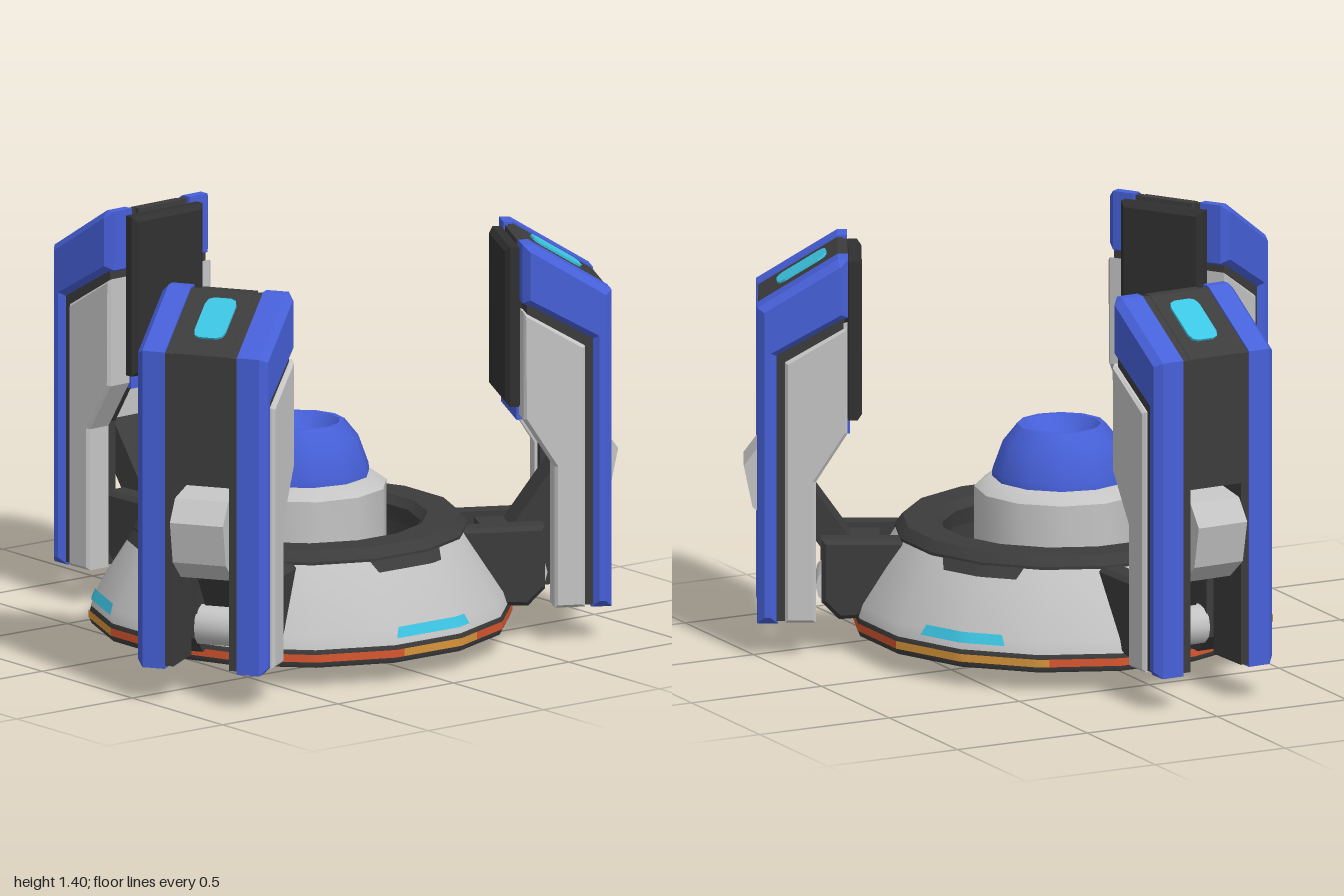
import * as THREE from 'three';
import { toCreasedNormals } from 'three/addons/utils/BufferGeometryUtils.js';

const paint = (name, color) => {
  const m = new THREE.MeshStandardMaterial({ color });
  m.name = name;
  return m;
};

export function createModel() {
  const dark = paint('charcoal', 0x3c3c3c);
  const black = paint('panel black', 0x303030);
  const grey = paint('light grey', 0xc4c4c4);
  const blue = paint('blue', 0x4660d8);
  const deepBlue = paint('deep blue', 0x35407c);
  const cyan = paint('cyan', 0x3cc4e2);
  const orange = paint('orange', 0xd8943a);
  const red = paint('red', 0xd8562f);

  const model = new THREE.Group();
  model.name = 'ringPlatform';
  const root = new THREE.Group();
  root.name = 'body';
  root.position.set(-0.015, 0, 0.172);
  model.add(root);

  const add = (parent, name, geo, mat, x = 0, y = 0, z = 0) => {
    const m = new THREE.Mesh(geo, mat);
    m.name = name;
    m.position.set(x, y, z);
    parent.add(m);
    return m;
  };
  const lathe = (name, pts, sides, start, mat) => add(root, name, toCreasedNormals(
    new THREE.LatheGeometry(pts.map(p => new THREE.Vector2(...p)), sides, start), 0.6), mat);

  // Extrudes a (radius, height) profile sideways from x0 to x1, chamfered on the outer side only
  const prism = (pts, x0, x1, c, side) => {
    const shape = new THREE.Shape(pts.map(([r, y]) => new THREE.Vector2(-side * r, y)));
    const geo = new THREE.ExtrudeGeometry(shape, {
      depth: x1 - x0 - c, bevelEnabled: c > 0, bevelThickness: c,
      bevelSize: c, bevelOffset: -c, bevelSegments: 1,
    });
    const p = geo.attributes.position;
    for (let i = 0; i < p.count; i++) if (p.getZ(i) < 0) p.setZ(i, 0);
    geo.rotateY(side * Math.PI / 2).translate(side * x0, 0, 0);
    geo.computeVertexNormals();
    return geo;
  };

  // Thin skin following the 16-sided dish; angles are counted in 1/128 turns
  const STEP = Math.PI / 64, FACE = Math.PI / 8;
  const skin = (name, a0, a1, [r0, y0, t0 = 0], [r1, y1, t1 = 0], mat) => {
    const n = Math.max(2, Math.round(a1 - a0)), pos = [], idx = [];
    for (let i = 0; i <= n; i++) {
      for (const [r, y, t] of [[r0, y0, t0], [r1, y1, t1]]) {
        const a = (a0 + t + (a1 - a0 - 2 * t) * i / n) * STEP;
        const off = a - Math.round(a / FACE) * FACE;
        const rr = r * Math.cos(FACE / 2) / Math.cos(off);
        pos.push(rr * Math.sin(a), y, rr * Math.cos(a));
      }
      if (i < n) {
        const k = i * 2;
        idx.push(k, k + 2, k + 1, k + 2, k + 3, k + 1);
      }
    }
    const geo = new THREE.BufferGeometry();
    geo.setAttribute('position', new THREE.Float32BufferAttribute(pos, 3));
    geo.setIndex(idx);
    add(root, name, toCreasedNormals(geo, 0.6), mat);
  };

  // Dish: dark rim and inner wall, grey cone, top ring, underside
  const S = Math.PI / 16;
  lathe('dishFrame', [[0.42, 0.36], [0.41, 0.07], [0.715, 0.07], [0.72, 0.08], [0.72, 0.12], [0.716, 0.132], [0.6, 0.132]], 16, S, dark);
  lathe('dishCone', [[0.718, 0.132], [0.705, 0.175], [0.56, 0.405]], 16, S, grey);
  lathe('topRing', [[0.572, 0.395], [0.572, 0.405], [0.545, 0.44], [0.435, 0.44], [0.41, 0.41], [0.42, 0.35]], 16, S, dark);
  lathe('undersidePlate', [[0.44, 0.066], [0.6, 0.066]], 16, S, grey);

  // Coloured trim band around the rim
  const bands = [[-3, 7, orange], [7, 36, red], [36, 53, orange], [53, 81, red], [81, 92, orange], [92, 125, red]];
  for (const [a0, a1, m] of bands) skin('trimBand', a0, a1, [0.725, 0.09], [0.725, 0.117], m);

  // Central core: grey drum and blue emitter
  lathe('coreDrum', [[0, 0], [0.298, 0], [0.298, 0.55], [0.25, 0.585], [0.2, 0.59]], 12, 0.05, grey);
  lathe('emitterDome', [[0.238, 0.583], [0.236, 0.61], [0.2, 0.71], [0.152, 0.77], [0.135, 0.77], [0.085, 0.71]], 12, 0.05, blue);
  lathe('emitterWell', [[0.085, 0.712], [0.08, 0.68], [0, 0.68]], 12, 0.05, deepBlue);

  // Arm profiles as (radius, height)
  const shellP = [[0.73, 1.40], [0.765, 1.40], [1.04, 1.23], [1.04, 0.12], [0.97, 0.12], [0.97, 1.06], [0.73, 1.195]];
  const panelP = [[0.732, 1.165], [0.945, 1.04], [0.945, 0.125], [0.84, 0.125], [0.84, 0.62], [0.732, 0.79]];
  const coreP = [[0.745, 1.393], [0.765, 1.393], [1.035, 1.226], [1.035, 0.13], [0.85, 0.13], [0.85, 0.63], [0.745, 0.8]];
  const spineP = [[0.73, 1.395], [0.765, 1.395], [1.035, 1.228], [1.035, 0.77], [0.77, 0.77], [0.73, 0.82]];
  const bracketP = [[0.48, 0.14], [0.76, 0.12], [0.82, 0.18], [0.82, 0.40], [0.48, 0.40]];
  const knuckleP = [[0.9, 0.74], [1.03, 0.72], [1.085, 0.645], [1.055, 0.5], [0.97, 0.43], [0.9, 0.43]];
  const padP = [[0.03, 0.097], [0.048, 0.088], [0.056, 0.066], [0.056, -0.066], [0.048, -0.088], [0.03, -0.097]];
  const padShape = new THREE.Shape([...padP, ...padP.map(([x, y]) => [-x, -y])].map(p => new THREE.Vector2(...p)));

  for (let k = 0; k < 3; k++) {
    const angle = 0.05 + k * Math.PI * 2 / 3;

    // Upright arm with split lower legs
    const arm = new THREE.Group();
    arm.name = 'arm';
    arm.rotation.y = angle + Math.PI;
    root.add(arm);
    for (const side of [-1, 1]) {
      add(arm, 'armFrame', prism(coreP, 0.1, 0.216, 0, side), dark);
      add(arm, 'armShell', prism(shellP, 0.13, 0.235, 0.024, side), blue);
      add(arm, 'armSidePanel', prism(panelP, 0.14, 0.233, 0.01, side), grey);
      add(arm, 'bracketPlate', prism(bracketP, 0.09, 0.17, 0.015, side), dark);
    }
    add(arm, 'armSpine', prism(spineP, -0.1, 0.1, 0, 1), dark);
    add(arm, 'innerTrim', new THREE.BoxGeometry(0.28, 0.07, 0.03), blue, 0, 0.805, 0.738);
    const face = new THREE.ExtrudeGeometry(new THREE.Shape([[-0.16, -0.28], [0.16, -0.28], [0.16, 0.28], [-0.16, 0.28]].map(p => new THREE.Vector2(...p))),
      { depth: 0.03, bevelThickness: 0.015, bevelSize: 0.018, bevelOffset: -0.018, bevelSegments: 1 });
    add(arm, 'innerPanel', face, black, 0, 1.1, 0.697);
    const pad = add(arm, 'topLight', new THREE.ExtrudeGeometry(padShape, { depth: 0.008, bevelEnabled: false }).rotateX(-Math.PI / 2), cyan, 0, 1.321, 0.885);
    pad.rotation.x = 0.554;

    // Hinge: crossbar, link and knuckles
    add(arm, 'crossbar', new THREE.BoxGeometry(0.2, 0.16, 0.14), dark, 0, 0.3, 0.69);
    const link = add(arm, 'hingeLink', new THREE.BoxGeometry(0.15, 0.1, 0.36), dark, 0, 0.45, 0.83);
    link.rotation.x = -0.95;
    add(arm, 'upperKnuckle', prism(knuckleP, -0.096, 0.096, 0, 1), grey);
    add(arm, 'lowerKnuckle', toCreasedNormals(new THREE.CylinderGeometry(0.07, 0.07, 0.188, 12).rotateZ(Math.PI / 2), 0.6), grey, 0, 0.22, 0.77);

    // Rim light and notch between the arms
    const c = angle / STEP;
    skin('rimLight', c - 4.8, c + 4.8, [0.719, 0.155], [0.704, 0.19, 0.4], cyan);
    skin('ringNotch', c - 6, c + 6, [0.595, 0.36, 1], [0.567, 0.405], dark);

    // Spoke joining core and dish
    const spoke = new THREE.Group();
    spoke.name = 'spoke';
    spoke.rotation.y = angle;
    root.add(spoke);
    add(spoke, 'spokeBeam', new THREE.BoxGeometry(0.07, 0.08, 0.18), grey, 0, 0.17, 0.34);
    for (const side of [-1, 1]) add(spoke, 'spokeRail', new THREE.BoxGeometry(0.025, 0.1, 0.18), dark, side * 0.0475, 0.17, 0.34);
  }
  return model;
}
